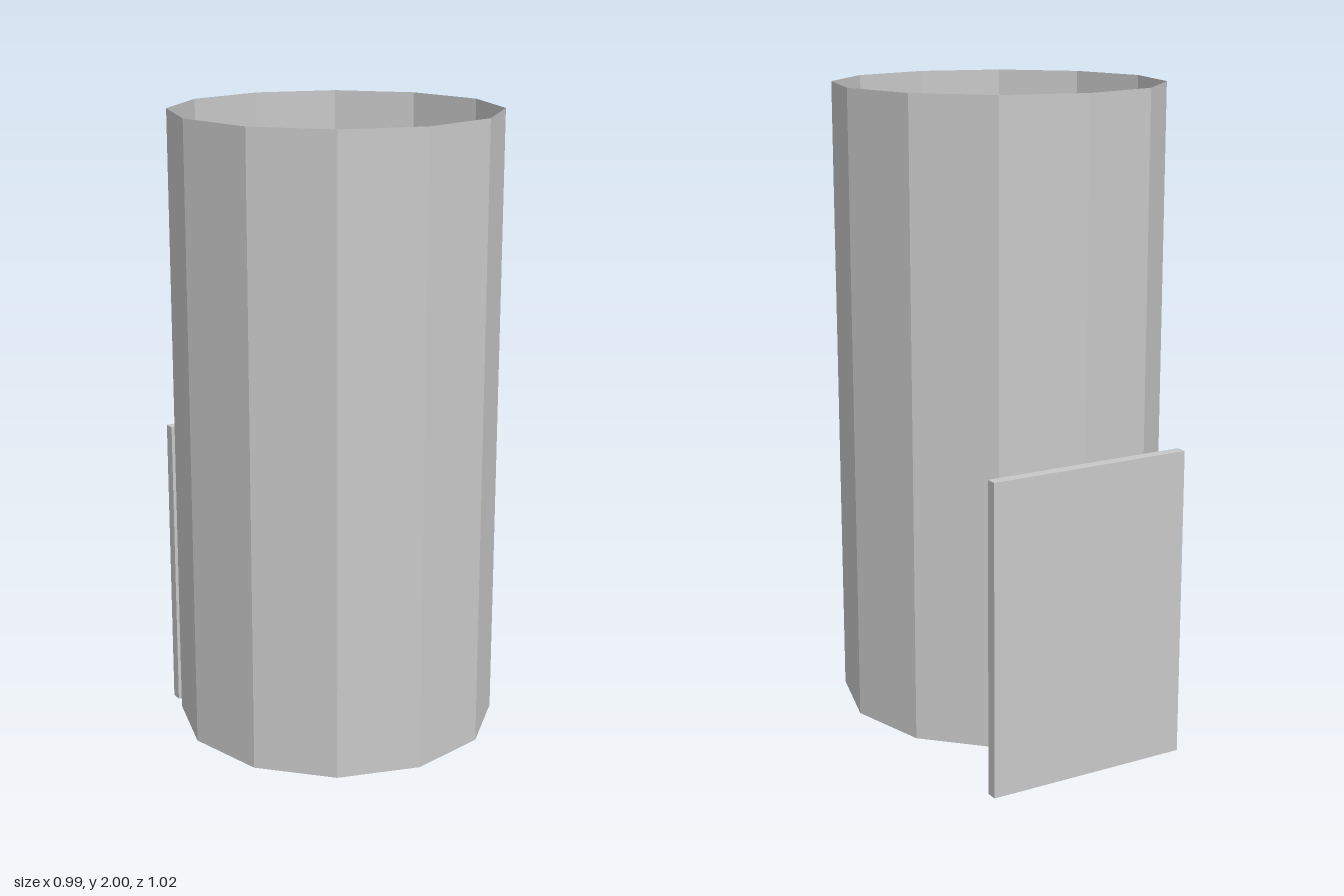
import * as THREE from 'three';

export function createModel() {
  const model = new THREE.Group();
  const grey = new THREE.MeshStandardMaterial({
    name: 'light grey', color: 0xc8c8c8, flatShading: true, side: THREE.DoubleSide,
  });

  const radius = 0.494, bottom = 0.1, top = 2, sides = 12, centreZ = 0.017;

  function add(name, geometry, x, y, z) {
    const mesh = new THREE.Mesh(geometry, grey);
    mesh.name = name;
    mesh.position.set(x, y, z);
    model.add(mesh);
    return mesh;
  }

  // Thin twelve-sided wall, open at the top
  add('cupWall',
    new THREE.CylinderGeometry(radius, radius, top - bottom, sides, 1, true),
    0, (top + bottom) / 2, centreZ);

  // Floor closing the bottom; turned so its corners meet the wall
  const floor = new THREE.CircleGeometry(radius, sides).rotateX(-Math.PI / 2);
  add('cupFloor', floor, 0, bottom, centreZ);

  // Flat mounting plate behind the cup, reaching below it
  add('backPlate', new THREE.BoxGeometry(0.644, 0.953, 0.035), 0, 0.4765, -0.4955);

  return model;
}
